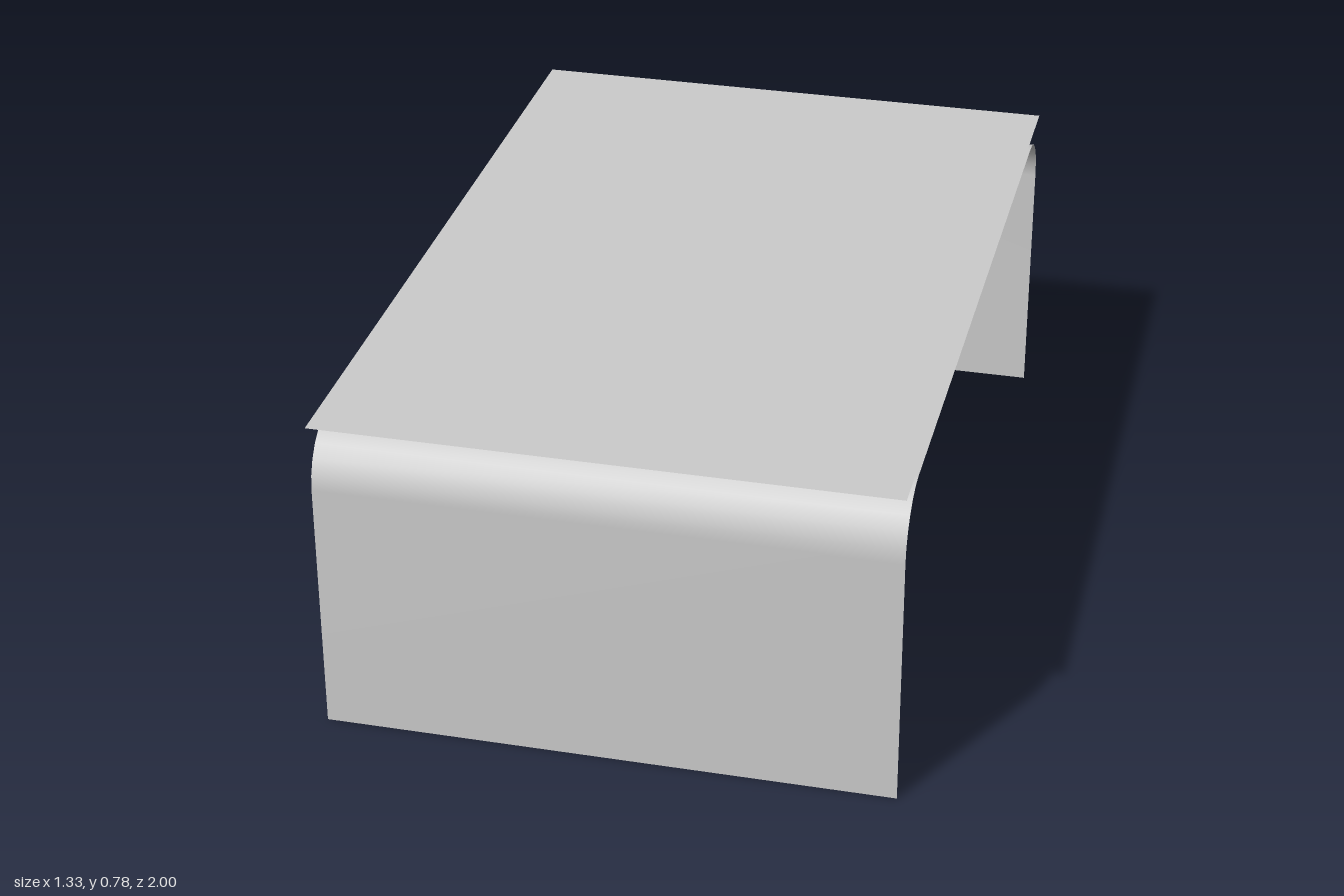
import * as THREE from 'three';

const WIDTH = 1.33, DEPTH = 2, HEIGHT = 0.782;
const SHEET_HALF = 0.986, SHEET_TOP = 0.755, BEND = 0.14, BEND_STEPS = 6;

// Side profile of the bent sheet as [z, y], from the back foot over to the front foot
function sheetProfile() {
  const half = [];
  for (let i = 0; i <= BEND_STEPS; i++) {
    const a = (i / BEND_STEPS) * Math.PI / 2;
    half.push([SHEET_HALF - BEND + BEND * Math.sin(a), SHEET_TOP - BEND + BEND * Math.cos(a)]);
  }
  half.push([SHEET_HALF, 0]);
  const back = half.map(([z, y]) => [-z, y]).reverse();
  return [...back, ...half];
}

export function createModel() {
  const group = new THREE.Group();
  group.name = 'table';
  const material = new THREE.MeshStandardMaterial({ color: 0xcccccc, side: THREE.DoubleSide });

  // Flat tabletop, floating just above the sheet
  const top = new THREE.Mesh(new THREE.PlaneGeometry(WIDTH, DEPTH), material);
  top.name = 'tabletop';
  top.rotation.x = -Math.PI / 2;
  top.position.y = HEIGHT;
  group.add(top);

  // One sheet bent down at both ends to form the legs
  const profile = sheetProfile();
  const geometry = new THREE.PlaneGeometry(WIDTH, 1, 1, profile.length - 1);
  const pos = geometry.attributes.position;
  for (let i = 0; i < pos.count; i++) {
    const [z, y] = profile[Math.floor(i / 2)];
    pos.setXYZ(i, pos.getX(i), y, z);
  }
  geometry.computeVertexNormals();
  const legs = new THREE.Mesh(geometry, material);
  legs.name = 'bentLegSheet';
  group.add(legs);

  return group;
}
